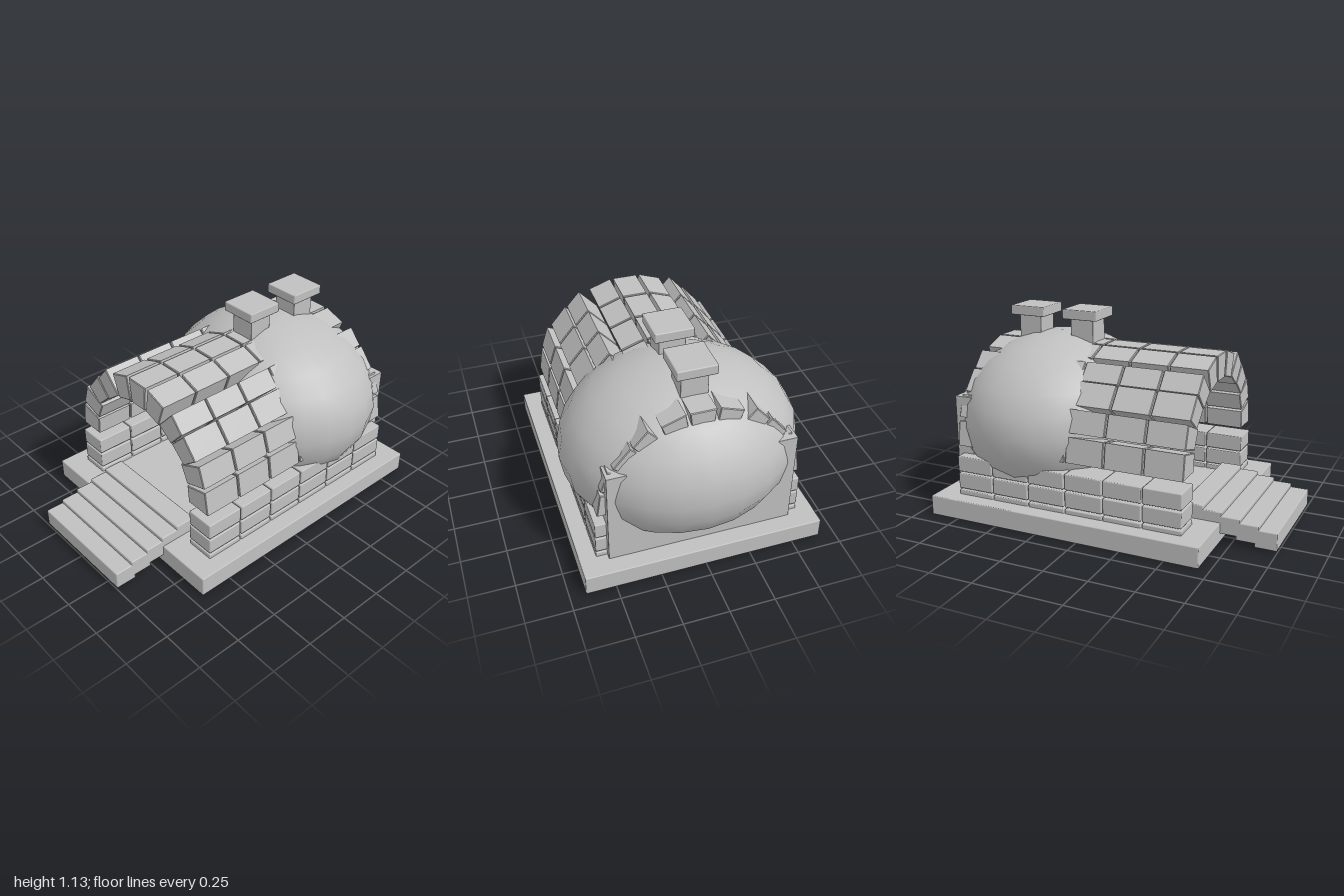
import * as THREE from 'three';
import { RoundedBoxGeometry } from 'three/addons/geometries/RoundedBoxGeometry.js';

const stone = new THREE.MeshStandardMaterial({ color: 0xc0c0c0 });
stone.name = 'grey stone';

export function createModel() {
  const model = new THREE.Group();
  model.name = 'domedOven';

  const add = (name, geometry, parent = model) => {
    const mesh = new THREE.Mesh(geometry, stone);
    mesh.name = name;
    parent.add(mesh);
    return mesh;
  };
  // box with softly chamfered edges, given by its limits
  const block = (name, x0, x1, y0, y1, z0, z1, parent, r = 0.006) => {
    const mesh = add(name, new RoundedBoxGeometry(x1 - x0, y1 - y0, z1 - z0, 1, r), parent);
    mesh.position.set((x0 + x1) / 2, (y0 + y1) / 2, (z0 + z1) / 2);
    return mesh;
  };
  const section = (name) => {
    const g = new THREE.Group();
    g.name = name;
    model.add(g);
    return g;
  };

  block('base', -0.663, 0.663, 0.005, 0.12, -0.92, 0.69);

  // Overlapping front steps
  const steps = section('steps');
  for (let i = 0; i < 5; i++) {
    const y = 0.016 + i * 0.021, z = 1 - i * 0.102;
    block('step', -0.335, 0.335, y, y + 0.1, z - 0.12, z, steps);
  }

  // Low side walls and the vault share six bays along z
  const bays = 6, pitch = 0.2265, bayLength = 0.219, front = 0.562;
  const walls = section('sideWalls');
  const vault = section('vault');

  // Corners of the vault stones, from the keystone down to the springing
  const stones = [
    [-0.07, 0.95, 0.07, 0.95, 0.054, 0.804, -0.054, 0.804],
    [0.09, 0.95, 0.217, 0.905, 0.17, 0.775, 0.066, 0.807],
    [0.284, 0.898, 0.36, 0.812, 0.27, 0.711, 0.177, 0.782],
    [0.373, 0.811, 0.463, 0.703, 0.37, 0.629, 0.277, 0.714],
    [0.491, 0.689, 0.53, 0.568, 0.395, 0.525, 0.348, 0.625],
    [0.535, 0.546, 0.555, 0.407, 0.405, 0.407, 0.395, 0.511],
  ];
  const bevel = 0.004;
  const stoneGeometry = (c, side) => {
    const pts = [];
    for (let k = 0; k < 8; k += 2) pts.push(new THREE.Vector2(c[k] * side, c[k + 1]));
    return new THREE.ExtrudeGeometry(new THREE.Shape(pts), {
      depth: bayLength - 2 * bevel, bevelSize: bevel, bevelThickness: bevel,
      bevelOffset: -bevel, bevelSegments: 1,
    });
  };
  const stoneGeometries = [];
  stones.forEach((c, i) => {
    stoneGeometries.push(stoneGeometry(c, 1));
    if (i > 0) stoneGeometries.push(stoneGeometry(c, -1));
  });

  for (let b = 0; b < bays; b++) {
    const z1 = front - b * pitch, z0 = z1 - bayLength;
    for (const g of stoneGeometries) add('vaultStone', g, vault).position.z = z0 + bevel;
    for (const side of [-1, 1]) {
      for (let row = 0; row < 3; row++) {
        const x = side * 0.4885, y = 0.054 + row * 0.101;
        block('wallBlock', x - 0.0825, x + 0.0825, y, y + 0.091, z0, z1, walls);
      }
    }
  }

  // Oven dome bulging through the vault
  const dome = add('dome', new THREE.SphereGeometry(1, 24, 12));
  dome.scale.set(0.657, 0.482, 0.582);
  dome.position.set(0, 0.516, -0.418);

  // Flat wall closing the rear
  block('backWall', -0.51, 0.51, 0.1, 0.68, -0.825, -0.72, model, 0.002);

  // Two capped chimneys
  for (const z of [-0.25, -0.585]) {
    const chimney = section('chimney');
    block('chimneyShaft', -0.074, 0.074, 0.85, 1.1, z - 0.07, z + 0.07, chimney, 0.003);
    block('chimneyCap', -0.108, 0.108, 1.082, 1.138, z - 0.108, z + 0.108, chimney);
  }
  return model;
}
